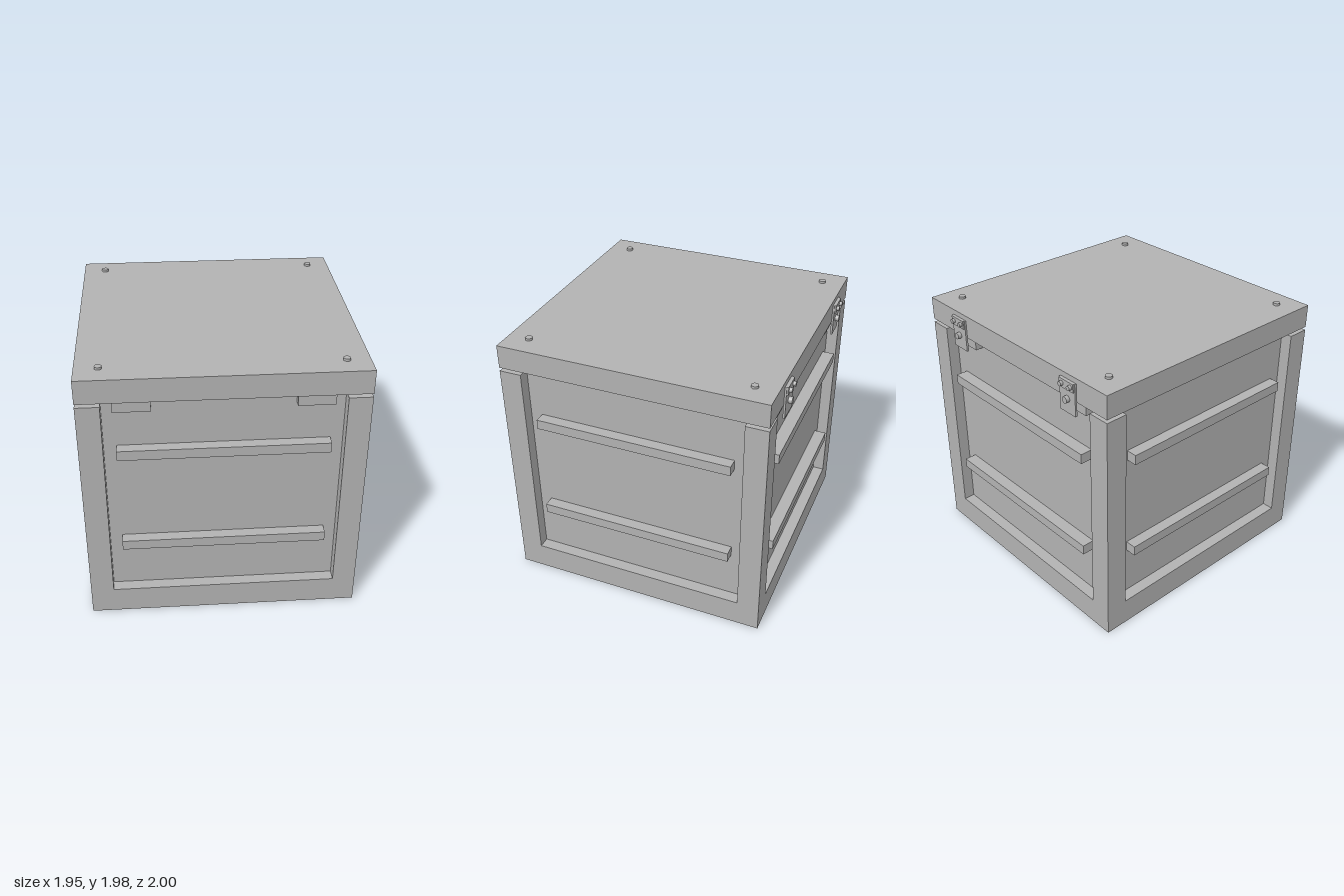
import * as THREE from 'three';

const grey = new THREE.MeshStandardMaterial({ color: 0xb2b2b2 });
grey.name = 'plain grey';

// Box given by its min and max corners
function block(parent, name, [x0, y0, z0], [x1, y1, z1]) {
  const mesh = new THREE.Mesh(new THREE.BoxGeometry(x1 - x0, y1 - y0, z1 - z0), grey);
  mesh.position.set((x0 + x1) / 2, (y0 + y1) / 2, (z0 + z1) / 2);
  mesh.name = name;
  parent.add(mesh);
  return mesh;
}

// Round bolt head, upright or pointing to the back
function bolt(parent, name, radius, length, [x, y, z], toBack = false) {
  const mesh = new THREE.Mesh(new THREE.CylinderGeometry(radius, radius, length, 20), grey);
  if (toBack) mesh.rotation.x = -Math.PI / 2;
  mesh.position.set(x, y, z);
  mesh.name = name;
  parent.add(mesh);
}

export function createModel() {
  const model = new THREE.Group();
  model.name = 'crate';

  // Everything but the hinges is symmetric about this group's centre
  const crate = new THREE.Group();
  crate.name = 'crateBody';
  crate.position.z = 0.021;
  model.add(crate);

  const H = 0.977, IN = 0.813, PANEL = 0.892;
  block(crate, 'base', [-H, 0, -H], [H, 0.2, H]);
  block(crate, 'panels', [-PANEL, 0.2, -PANEL], [PANEL, 1.767, PANEL]);
  block(crate, 'lid', [-H, 1.79, -H], [H, 1.963, H]);

  // Corner posts and lid bolts
  for (const sx of [-1, 1]) {
    for (const sz of [-1, 1]) {
      const post = block(crate, 'cornerPost', [IN, 0.2, IN], [H, 1.765, H]);
      post.position.x *= sx;
      post.position.z *= sz;
      bolt(crate, 'lidBolt', 0.025, 0.024, [sx * 0.815, 1.968, sz * 0.816]);
    }
  }

  // Two rails on each of the four sides
  for (let i = 0; i < 4; i++) {
    const side = new THREE.Group();
    side.name = 'sideRails';
    side.rotation.y = (i * Math.PI) / 2;
    const out = i === 2 ? 0.983 : 0.972;
    for (const y of [0.572, 1.339]) {
      block(side, 'rail', [-0.726, y, PANEL - 0.02], [0.726, y + 0.074, out]);
    }
    crate.add(side);
  }

  for (const x of [-0.612, 0.612]) {
    // Support blocks under the lid, front and back
    block(model, 'frontBlock', [x - 0.128, 1.7, 0.89], [x + 0.128, 1.79, 0.965]);
    block(model, 'backBlock', [x - 0.128, 1.7, -0.925], [x + 0.128, 1.79, -0.82]);
    block(model, 'backBlockFlange', [x - 0.137, 1.775, -0.925], [x + 0.137, 1.79, -0.82]);

    // Hinge plates with bolts
    const hinge = new THREE.Group();
    hinge.name = 'hinge';
    hinge.position.x = x;
    block(hinge, 'hingePlate', [-0.077, 1.685, -0.969], [0.077, 1.925, -0.954]);
    block(hinge, 'hingeStrap', [-0.07, 1.862, -0.98], [0.07, 1.925, -0.968]);
    for (const dx of [-0.042, 0.042]) {
      bolt(hinge, 'hingeBolt', 0.017, 0.03, [dx, 1.893, -0.985], true);
    }
    bolt(hinge, 'hingeKnob', 0.024, 0.03, [0, 1.79, -0.981], true);
    model.add(hinge);
  }

  return model;
}
